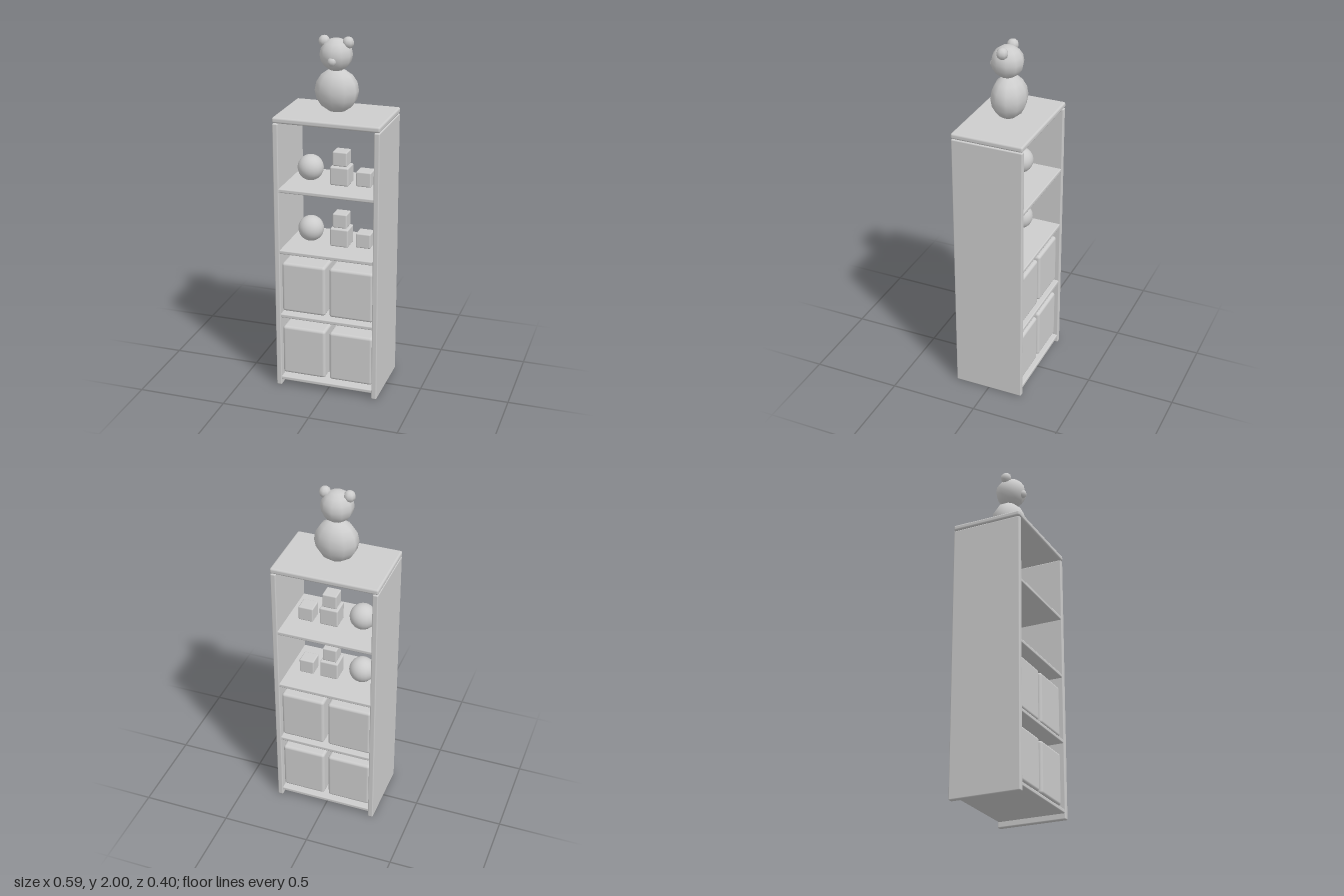
import * as THREE from 'three';
import { RoundedBoxGeometry } from 'three/addons/geometries/RoundedBoxGeometry.js';

export function createModel() {
  const model = new THREE.Group();
  model.name = 'toyShelf';
  const grey = new THREE.MeshStandardMaterial({ color: 0xcccccc });
  grey.name = 'plainGrey';

  const add = (parent, name, geometry, x, y, z) => {
    const mesh = new THREE.Mesh(geometry, grey);
    mesh.name = name;
    mesh.position.set(x, y, z);
    parent.add(mesh);
    return mesh;
  };
  // Rounded box standing on height y
  const box = (parent, name, w, h, d, r, x, y, z = 0) =>
    add(parent, name, new RoundedBoxGeometry(w, h, d, 3, r), x, y + h / 2, z);
  // Coarse smooth-shaded ball with a vertex facing front
  const ball = (parent, name, r, sides, rings, x, y, z = 0) =>
    add(parent, name, new THREE.SphereGeometry(r, sides, rings).rotateY(Math.PI / 2), x, y, z);

  // Cabinet frame
  const frame = new THREE.Group();
  frame.name = 'frame';
  model.add(frame);
  for (const [side, name] of [[1, 'leftPanel'], [-1, 'rightPanel']]) {
    box(frame, name, 0.03, 1.55, 0.4, 0.006, side * 0.28, 0);
  }
  box(frame, 'topBoard', 0.594, 0.032, 0.404, 0.011, 0, 1.553);
  const shelfBottoms = [0.032, 0.423, 0.808, 1.165];
  shelfBottoms.forEach((y, i) => box(frame, `shelf${i + 1}`, 0.54, 0.022, 0.392, 0.006, 0, y));

  // Storage bins on the two lower shelves
  for (const y of [0.071, 0.458]) {
    for (const [side, name] of [[1, 'leftBin'], [-1, 'rightBin']]) {
      box(model, name, 0.25, 0.292, 0.36, 0.016, side * 0.137, y);
    }
  }

  // Ball and blocks on the two upper shelves
  for (const y of [0.83, 1.187]) {
    const toys = new THREE.Group();
    toys.name = 'toys';
    toys.position.y = y;
    model.add(toys);
    ball(toys, 'ball', 0.072, 20, 14, -0.15, 0.073);
    box(toys, 'largeBlock', 0.104, 0.104, 0.104, 0.008, 0.028, 0);
    box(toys, 'stackedBlock', 0.081, 0.081, 0.081, 0.007, 0.028, 0.107);
    box(toys, 'smallBlock', 0.084, 0.084, 0.084, 0.007, 0.16, 0.001, -0.01);
  }

  // Toy bear sitting on top
  const bear = new THREE.Group();
  bear.name = 'bear';
  model.add(bear);
  ball(bear, 'body', 0.12, 10, 8, 0, 1.706).scale.z = 0.8;
  ball(bear, 'head', 0.088, 10, 8, 0, 1.901, 0.01);
  for (const [side, name] of [[1, 'leftEar'], [-1, 'rightEar']]) {
    ball(bear, name, 0.032, 8, 6, side * 0.066, 1.968, 0.01);
  }
  ball(bear, 'nose', 0.025, 8, 6, 0, 1.878, 0.083);

  return model;
}
